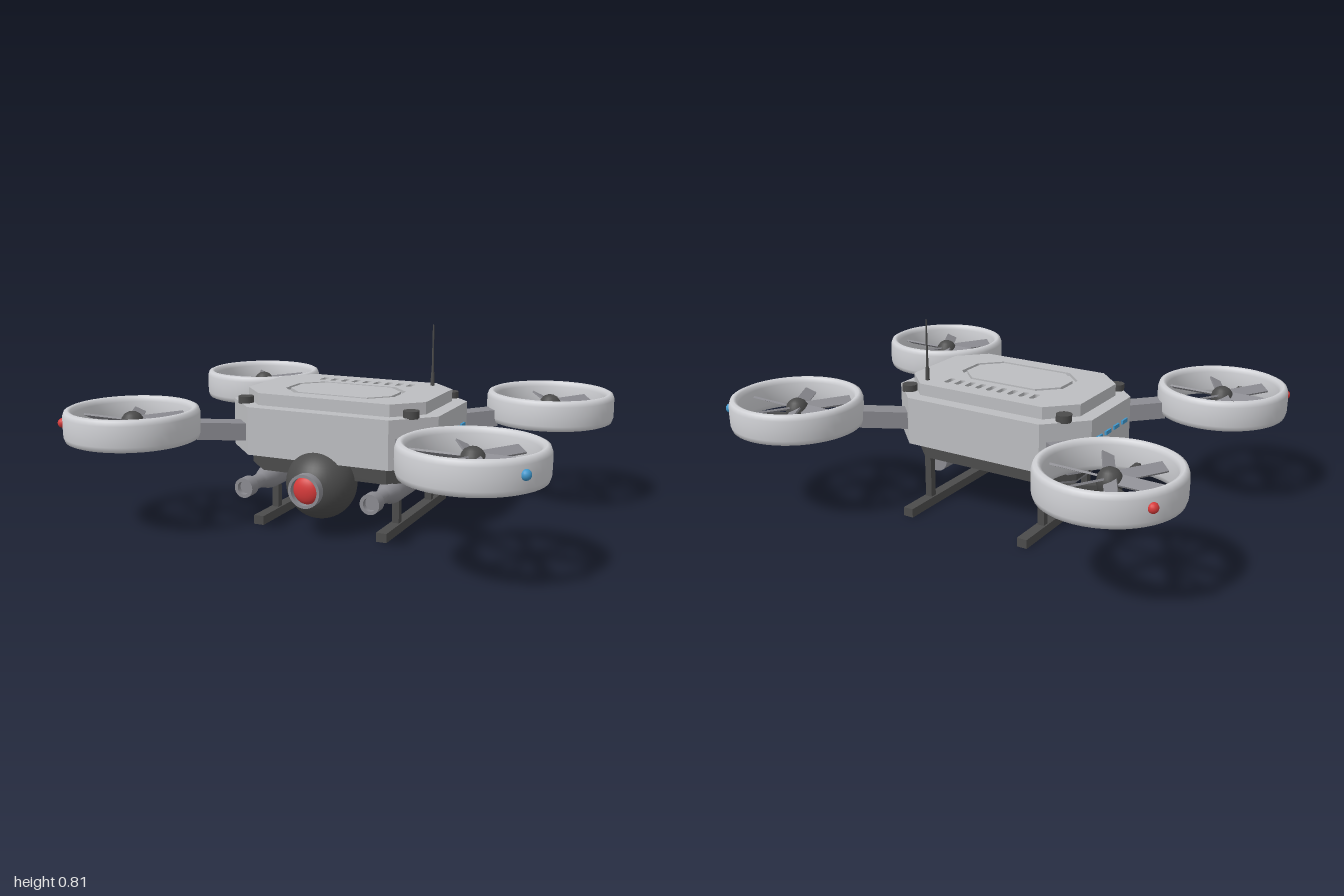
import * as THREE from 'three';

const mat = (name, color) => {
  const m = new THREE.MeshStandardMaterial({ color });
  m.name = name;
  return m;
};

export function createModel() {
  const hull = mat('hull grey', 0xbcbdc0);
  const duct = mat('duct light grey', 0xcfd0d4);
  const metal = mat('mid grey', 0x8b8b91);
  const dark = mat('dark grey', 0x4b4b4b);
  const red = mat('signal red', 0xd63a3a);
  const blue = mat('signal blue', 0x3f97cc);

  const root = new THREE.Group();
  root.name = 'quadDrone';

  const add = (parent, name, geo, material, x = 0, y = 0, z = 0) => {
    const m = new THREE.Mesh(geo, material);
    m.name = name;
    m.position.set(x, y, z);
    parent.add(m);
    return m;
  };
  const V = (pairs) => pairs.map(([x, y]) => new THREE.Vector2(x, y));

  // Chamfered rectangle in plan, centred at z = cz
  const octagon = (hx, hz, c, cz = 0) => V([
    [hx, -hz + c], [hx, hz - c], [hx - c, hz], [-hx + c, hz],
    [-hx, hz - c], [-hx, -hz + c], [-hx + c, -hz], [hx - c, -hz],
  ].map(([x, z]) => [x, z - cz]));
  const slab = (name, pts, y, h, material, holes = []) => {
    const shape = new THREE.Shape(pts);
    shape.holes.push(...holes);
    const geo = new THREE.ExtrudeGeometry(shape, { depth: h, bevelEnabled: false, curveSegments: 8 });
    geo.rotateX(-Math.PI / 2);
    return add(root, name, geo, material, 0, y, 0);
  };

  // Hull, belly plate and lid
  slab('bellyPlate', octagon(0.388, 0.26, 0.11), 0.225, 0.08, dark);
  slab('hull', octagon(0.462, 0.322, 0.15), 0.3, 0.2, hull);
  slab('lidBase', octagon(0.402, 0.264, 0.11), 0.5, 0.036, hull);

  // Lid skin with a hatch groove and a row of vent slots
  const holes = [new THREE.Path(octagon(0.248, 0.145, 0.082, 0.045))];
  for (let i = -4; i <= 4; i++) {
    const x = 0.005 + i * 0.0512, r = 0.0125, s = 0.018, y = 0.165;
    const slot = new THREE.Path();
    slot.absarc(x, y + s, r, 0, Math.PI, false);
    slot.absarc(x, y - s, r, Math.PI, 2 * Math.PI, false);
    holes.push(slot);
  }
  slab('lidSkin', octagon(0.402, 0.264, 0.11), 0.536, 0.014, hull, holes);
  slab('hatch', octagon(0.23, 0.127, 0.076, 0.045), 0.536, 0.014, hull);

  // Antenna
  add(root, 'antennaBase', new THREE.CylinderGeometry(0.008, 0.009, 0.06, 10), dark, 0.295, 0.575, -0.205);
  add(root, 'antenna', new THREE.CylinderGeometry(0.003, 0.006, 0.26, 10), dark, 0.295, 0.68, -0.205);

  // Ducted rotor geometries
  const ductGeo = new THREE.LatheGeometry(V([
    [0.255, 0.375], [0.268, 0.38], [0.2745, 0.4], [0.2755, 0.44], [0.2745, 0.482],
    [0.268, 0.5], [0.255, 0.506], [0.243, 0.5], [0.236, 0.482], [0.235, 0.44],
    [0.236, 0.4], [0.243, 0.38], [0.255, 0.375],
  ]), 48);
  const hubGeo = new THREE.LatheGeometry(V([
    [0, 0.395], [0.03, 0.395], [0.03, 0.395], [0.045, 0.41], [0.048, 0.44],
    [0.044, 0.46], [0.032, 0.477], [0.016, 0.486], [0, 0.488],
  ]), 24);
  const bladeGeo = new THREE.BoxGeometry(0.2, 0.008, 0.05);
  bladeGeo.rotateX(0.45).translate(0.132, 0.448, 0);
  const strutGeo = new THREE.BoxGeometry(0.21, 0.018, 0.02);
  strutGeo.translate(0.137, 0.415, 0);

  for (const sx of [-1, 1]) for (const sz of [-1, 1]) {
    const rotor = new THREE.Group();
    rotor.name = 'rotor';
    rotor.position.set(sx * 0.7235, 0, sz * 0.54);
    root.add(rotor);
    add(rotor, 'duct', ductGeo, duct);
    add(rotor, 'hub', hubGeo, dark);
    for (let i = 0; i < 6; i++)
      add(rotor, 'blade', bladeGeo, metal).rotation.y = i * Math.PI / 3 - 0.03;
    for (let i = 0; i < 3; i++)
      add(rotor, 'ductStrut', strutGeo, dark).rotation.y = Math.PI / 6 + i * 2 * Math.PI / 3;

    // Signal light on the outside of the duct
    add(rotor, 'signalLight', new THREE.SphereGeometry(0.02, 16, 12), sx < 0 ? red : blue,
      sx * 0.231, 0.448, sz * 0.15);

    // Arm from the hull corner to the duct
    const arm = new THREE.Group();
    arm.name = 'arm';
    arm.rotation.y = Math.atan2(-sz * 0.54, sx * 0.7235);
    root.add(arm);
    add(arm, 'armBeam', new THREE.BoxGeometry(0.25, 0.072, 0.085), metal, 0.52, 0.394, 0).rotation.z = 0.06;

    // Corner bolt on the hull
    add(root, 'cornerBolt', new THREE.CylinderGeometry(0.032, 0.032, 0.03, 20), dark, sx * 0.37, 0.512, sz * 0.23);
  }

  // Camera ball, lens ring and lens
  add(root, 'cameraBall', new THREE.SphereGeometry(0.145, 40, 28), dark, 0, 0.205, 0.27);
  const lensRing = new THREE.LatheGeometry(V([
    [0.069, 0.36], [0.069, 0.432], [0.069, 0.432], [0.057, 0.432], [0.057, 0.432], [0.057, 0.36],
  ]), 32);
  lensRing.rotateX(Math.PI / 2);
  add(root, 'lensRing', lensRing, metal, 0, 0.207, 0);
  const lens = new THREE.SphereGeometry(0.057, 28, 14, 0, Math.PI * 2, 0, Math.PI / 2);
  lens.rotateX(Math.PI / 2).scale(1, 1, 0.5);
  add(root, 'lens', lens, red, 0, 0.207, 0.405);

  // Pod with a tapered neck and hollow muzzle
  const podGeo = new THREE.LatheGeometry(V([
    [0, -0.18], [0.052, -0.18], [0.052, -0.18], [0.052, 0.2], [0.048, 0.23], [0.031, 0.285],
    [0.029, 0.3], [0.029, 0.355], [0.041, 0.372], [0.041, 0.372], [0.041, 0.422], [0.041, 0.422],
    [0.027, 0.422], [0.027, 0.422], [0.027, 0.4], [0.027, 0.4], [0, 0.4],
  ]), 28);
  podGeo.rotateX(Math.PI / 2);

  for (const s of [-1, 1]) {
    add(root, 'pod', podGeo, metal, s * 0.278, 0.187, 0);

    // Landing skid and its legs
    add(root, 'skid', new THREE.BoxGeometry(0.045, 0.038, 0.695), dark, s * 0.278, 0.019, -0.043);
    for (const z of [0.144, -0.228])
      add(root, 'skidLeg', new THREE.BoxGeometry(0.03, 0.21, 0.03), dark, s * 0.278, 0.135, z);

    // Side light strips
    for (let i = 0; i < 4; i++)
      add(root, 'sideLight', new THREE.BoxGeometry(0.009, 0.016, 0.045), blue, s * 0.4655, 0.412, 0.112 - i * 0.0747);
  }
  return root;
}
